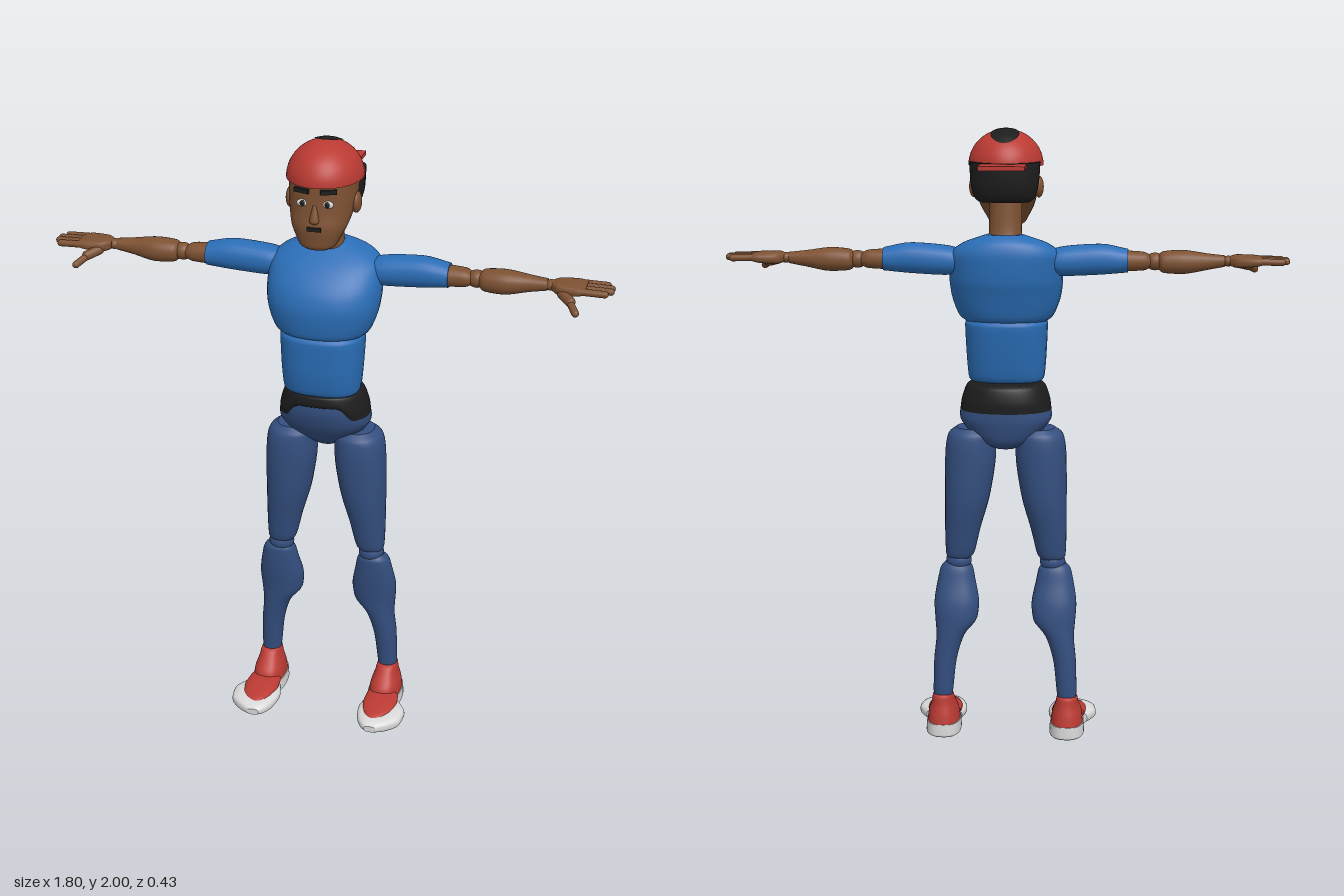
import * as THREE from 'three';

const colour = (name, hex) => {
  const m = new THREE.MeshStandardMaterial({ color: hex });
  m.name = name;
  return m;
};

// Smooth, non-overshooting interpolation between ring k and k + 1.
function between(rings, k, u, c) {
  const d = i => (i < 0 || i >= rings.length - 1) ? null : rings[i + 1][c] - rings[i][c];
  const slope = (p, q) => p === null ? q : q === null ? p : p * q <= 0 ? 0 : 2 * p * q / (p + q);
  const m0 = slope(d(k - 1), d(k)), m1 = slope(d(k), d(k + 1));
  const u2 = u * u, u3 = u2 * u;
  return (2 * u3 - 3 * u2 + 1) * rings[k][c] + (u3 - 2 * u2 + u) * m0
    + (3 * u2 - 2 * u3) * rings[k + 1][c] + (u3 - u2) * m1;
}

// Skin over rounded cross-sections [t, aMin, aMax, bMin, bMax], t rising.
// Axis y: a = x, b = z.  Axis x: a = z, b = y.  Axis z: a = y, b = x.
function loft(rings, { axis = 'y', power = 2.2, n = 32, steps = 4, warp } = {}) {
  const rows = [];
  for (let k = 0; k < rings.length - 1; k++)
    for (let s = 0; s < steps; s++) rows.push([0, 1, 2, 3, 4].map(c => between(rings, k, s / steps, c)));
  rows.push(rings[rings.length - 1]);
  const pos = [], index = [];
  const add = (a, t, b) => {
    const p = axis === 'y' ? [a, t, b] : axis === 'x' ? [t, b, a] : [b, a, t];
    if (warp) warp(p);
    pos.push(...p);
  };
  const bend = v => Math.sign(v) * Math.pow(Math.abs(v), 2 / power);
  const ring = ([t, a0, a1, b0, b1]) => {
    for (let i = 0; i < n; i++) {
      const w = i / n * Math.PI * 2;
      add((a0 + a1) / 2 + (a1 - a0) / 2 * bend(Math.cos(w)), t, (b0 + b1) / 2 + (b1 - b0) / 2 * bend(Math.sin(w)));
    }
  };
  rows.forEach(ring);
  for (let j = 0; j < rows.length - 1; j++)
    for (let i = 0; i < n; i++) {
      const p = j * n + i, q = j * n + (i + 1) % n;
      index.push(p, p + n, q, q, p + n, q + n);
    }
  // End caps with their own vertices
  [rows[0], rows[rows.length - 1]].forEach((r, top) => {
    const base = pos.length / 3;
    ring(r);
    add((r[1] + r[2]) / 2, r[0], (r[3] + r[4]) / 2);
    for (let i = 0; i < n; i++) {
      const p = base + i, q = base + (i + 1) % n;
      index.push(base + n, top ? q : p, top ? p : q);
    }
  });
  const g = new THREE.BufferGeometry();
  g.setAttribute('position', new THREE.Float32BufferAttribute(pos, 3));
  g.setIndex(index);
  g.computeVertexNormals();
  return g;
}

const ball = (x, y, z, rx, ry = rx, rz = rx) =>
  new THREE.SphereGeometry(1, 24, 16).scale(rx, ry, rz).translate(x, y, z);

const box = (w, h, d, x, y, z, turn = 0) =>
  new THREE.BoxGeometry(w, h, d).rotateY(turn).translate(x, y, z);

// Rounded rod between two points
function rod(a, b, r) {
  const p = new THREE.Vector3(...a), q = new THREE.Vector3(...b), dir = q.clone().sub(p);
  const g = new THREE.CapsuleGeometry(r, dir.length() - 2 * r, 6, 12);
  g.applyQuaternion(new THREE.Quaternion().setFromUnitVectors(new THREE.Vector3(0, 1, 0), dir.normalize()));
  return g.translate(...p.add(q).multiplyScalar(0.5).toArray());
}

function mirrored(geo) {
  const g = geo.clone(), p = g.attributes.position, nn = g.attributes.normal, ix = g.index.array;
  for (let i = 0; i < p.count; i++) { p.setX(i, -p.getX(i)); nn.setX(i, -nn.getX(i)); }
  for (let i = 0; i < ix.length; i += 3) [ix[i], ix[i + 1]] = [ix[i + 1], ix[i]];
  return g;
}

// Symmetric section about x = 0
const mid = rows => rows.map(([y, w, z0, z1]) => [y, -w, w, z0, z1]);

export function createModel() {
  const root = new THREE.Group();
  root.name = 'figure';
  const skin = colour('skin', 0x7d5132), red = colour('red', 0xbb3a33), blue = colour('shirtBlue', 0x2a6db6);
  const denim = colour('trouserBlue', 0x344f80), black = colour('black', 0x1d1d1d), white = colour('white', 0xd9d9d9);

  const put = (name, geo, mat) => {
    const m = new THREE.Mesh(geo, mat);
    m.name = name;
    root.add(m);
  };
  const pair = (name, geo, mat) => {
    put(name + 'Left', geo, mat);
    put(name + 'Right', mirrored(geo), mat);
  };

  // Torso
  put('chest', loft(mid([
    [1.385, 0.13, -0.06, 0.135], [1.4, 0.15, -0.077, 0.15], [1.475, 0.178, -0.1, 0.16], [1.53, 0.183, -0.115, 0.148],
    [1.6, 0.178, -0.12, 0.095], [1.64, 0.14, -0.112, 0.045], [1.66, 0.09, -0.095, 0.015], [1.67, 0.06, -0.08, 0]])), blue);
  put('abdomen', loft(mid([
    [1.185, 0.11, -0.025, 0.115], [1.197, 0.122, -0.04, 0.13], [1.28, 0.13, -0.06, 0.146],
    [1.375, 0.134, -0.074, 0.15], [1.395, 0.12, -0.062, 0.135]]), { power: 2.5 }), blue);
  const hips = [[1.08, 0.15, -0.1, 0.11], [1.13, 0.141, -0.1, 0.123], [1.175, 0.124, -0.09, 0.12], [1.185, 0.112, -0.078, 0.108]];
  put('pelvis', loft(mid([
    [0.975, 0.035, -0.05, 0.02], [1.0, 0.085, -0.082, 0.05], [1.04, 0.127, -0.094, 0.088], ...hips])), denim);
  // Belt, narrower across the front
  put('belt', loft(mid([[1.1, 0.148, -0.102, 0.12], [1.13, 0.144, -0.104, 0.127],
    [1.178, 0.127, -0.094, 0.124], [1.188, 0.114, -0.08, 0.11]]), {
    n: 64,
    warp: p => {
      if (p[2] < 0.03) return;
      const lift = 0.046 * THREE.MathUtils.clamp((0.11 - Math.abs(p[0])) / 0.04, 0, 1);
      p[1] = 1.188 - (1.188 - p[1]) * (0.088 - lift) / 0.088;
    }
  }), black);

  // Head and neck
  put('neck', loft(mid([[1.62, 0.068, -0.09, 0.02], [1.68, 0.052, -0.065, 0.035], [1.78, 0.052, -0.055, 0.05]])), skin);
  put('head', loft(mid([
    [1.683, 0.035, 0.085, 0.128], [1.695, 0.055, 0.06, 0.142], [1.72, 0.07, 0.035, 0.146], [1.755, 0.087, 0.0, 0.15],
    [1.8, 0.099, -0.05, 0.143], [1.85, 0.106, -0.085, 0.139], [1.9, 0.107, -0.1, 0.137], [1.95, 0.07, -0.07, 0.1]])), skin);
  put('nose', loft(mid([[1.772, 0.012, 0.12, 0.148], [1.782, 0.016, 0.12, 0.157], [1.83, 0.007, 0.12, 0.142]])), skin);
  put('mouth', box(0.044, 0.013, 0.008, 0, 1.757, 0.149), black);
  pair('ear', ball(0.104, 1.815, 0.03, 0.015, 0.034, 0.03), skin);
  pair('eye', ball(0.04, 1.834, 0.133, 0.018, 0.012, 0.006), white);
  pair('pupil', ball(0.039, 1.834, 0.137, 0.008, 0.01, 0.004), black);
  pair('eyebrow', box(0.05, 0.014, 0.009, 0.042, 1.873, 0.133, 0.3), black);
  put('hair', loft(mid([
    [1.775, 0.08, -0.095, -0.02], [1.785, 0.093, -0.108, 0], [1.83, 0.107, -0.124, 0.015], [1.9, 0.112, -0.129, 0.03]])), black);

  // Cap worn backwards, with hair showing at the crown
  const capZ = 0.009, capY = 1.886;
  put('cap', new THREE.SphereGeometry(1, 40, 16, 0, Math.PI * 2, 0, Math.PI / 2).scale(0.119, 0.112, 0.139)
    .translate(0, capY, capZ), red);
  put('capUnderside', new THREE.CircleGeometry(1, 40).rotateX(Math.PI / 2).scale(0.119, 1, 0.139).translate(0, capY, capZ), red);
  put('brim', box(0.144, 0.013, 0.12, 0, 1.891, -0.158), red);
  const crown = new THREE.RingGeometry(0.001, 1, 32, 5).rotateX(-Math.PI / 2).scale(0.045, 1, 0.06).translate(0, 0, -0.038);
  const cp = crown.attributes.position;
  for (let i = 0; i < cp.count; i++)
    cp.setY(i, capY + 0.003 + 0.112 * Math.sqrt(1 - (cp.getX(i) / 0.119) ** 2 - ((cp.getZ(i) - capZ) / 0.139) ** 2));
  crown.computeVertexNormals();
  put('crownHair', crown, black);

  // Arms
  const arm = { axis: 'x', n: 24 };
  pair('sleeve', loft([
    [0.14, -0.06, 0.03, 1.55, 1.62], [0.19, -0.068, 0.037, 1.537, 1.632], [0.3, -0.066, 0.036, 1.542, 1.64],
    [0.39, -0.058, 0.029, 1.55, 1.624]], arm), blue);
  pair('upperArm', loft([[0.37, -0.053, 0.025, 1.553, 1.62], [0.44, -0.047, 0.02, 1.557, 1.615], [0.46, -0.038, 0.012, 1.565, 1.605]], arm), skin);
  pair('elbow', ball(0.475, 1.585, -0.013, 0.032, 0.028, 0.028), skin);
  pair('forearm', loft([
    [0.487, -0.04, 0.015, 1.56, 1.608], [0.5, -0.052, 0.025, 1.55, 1.617], [0.56, -0.056, 0.032, 1.546, 1.622],
    [0.64, -0.043, 0.014, 1.56, 1.612], [0.695, -0.034, 0.008, 1.57, 1.606]], arm), skin);
  pair('wrist', ball(0.706, 1.588, -0.012, 0.022, 0.017, 0.021), skin);
  pair('palm', loft([
    [0.71, -0.032, 0.012, 1.575, 1.603], [0.735, -0.052, 0.035, 1.568, 1.608], [0.79, -0.063, 0.042, 1.572, 1.606],
    [0.815, -0.058, 0.038, 1.578, 1.602]], { ...arm, power: 3 }), skin);
  [0.885, 0.9, 0.9, 0.885].forEach((tip, i) => {
    const z = -0.048 + i * 0.026;
    pair('finger' + (i + 1), rod([0.79, 1.591, z], [tip, 1.589, z], 0.011), skin);
  });
  pair('thumbBase', rod([0.735, 1.58, 0.015], [0.785, 1.563, 0.07], 0.016), skin);
  pair('thumb', rod([0.77, 1.568, 0.052], [0.802, 1.545, 0.112], 0.0115), skin);

  // Legs
  pair('thigh', loft([
    [0.595, 0.12, 0.187, -0.032, 0.03], [0.61, 0.106, 0.197, -0.043, 0.042], [0.7, 0.083, 0.2, -0.062, 0.06],
    [0.82, 0.05, 0.2, -0.082, 0.08], [0.95, 0.032, 0.198, -0.085, 0.088], [1.015, 0.032, 0.188, -0.08, 0.083],
    [1.04, 0.05, 0.16, -0.06, 0.06]]), denim);
  pair('knee', ball(0.155, 0.588, 0, 0.042, 0.036, 0.04), denim);
  pair('shin', loft([
    [0.11, 0.18, 0.232, -0.075, -0.012], [0.15, 0.173, 0.238, -0.08, -0.01], [0.25, 0.162, 0.236, -0.083, 0.003],
    [0.34, 0.135, 0.228, -0.084, 0.015], [0.4, 0.092, 0.232, -0.083, 0.022], [0.45, 0.087, 0.235, -0.077, 0.029],
    [0.52, 0.1, 0.225, -0.055, 0.038], [0.565, 0.11, 0.214, -0.042, 0.041], [0.583, 0.125, 0.198, -0.03, 0.03]]), denim);

  // Shoes
  pair('heelSole', loft([
    [0, 0.155, 0.255, -0.1, 0.06], [0.008, 0.148, 0.264, -0.108, 0.068], [0.045, 0.15, 0.262, -0.107, 0.066]], { power: 2.6 }), white);
  pair('shoeUpper', loft([
    [0.042, 0.152, 0.26, -0.106, 0.065], [0.075, 0.157, 0.256, -0.1, 0.056], [0.11, 0.168, 0.245, -0.091, 0.025],
    [0.135, 0.174, 0.24, -0.087, 0.003], [0.14, 0.18, 0.234, -0.08, -0.005]], { power: 2.4 }), red);
  pair('toeSole', loft([
    [0.045, 0.001, 0.048, 0.152, 0.272], [0.1, 0, 0.052, 0.14, 0.3], [0.15, 0, 0.049, 0.147, 0.295],
    [0.19, 0.003, 0.043, 0.165, 0.26], [0.21, 0.01, 0.032, 0.185, 0.225]], { axis: 'z', power: 2.8 }), white);
  pair('toeUpper', loft([
    [0.03, 0.025, 0.07, 0.155, 0.262], [0.08, 0.025, 0.067, 0.153, 0.267], [0.13, 0.025, 0.06, 0.163, 0.26],
    [0.165, 0.025, 0.052, 0.178, 0.238], [0.18, 0.028, 0.044, 0.19, 0.22]], { axis: 'z', power: 2.2 }), red);

  return root;
}
